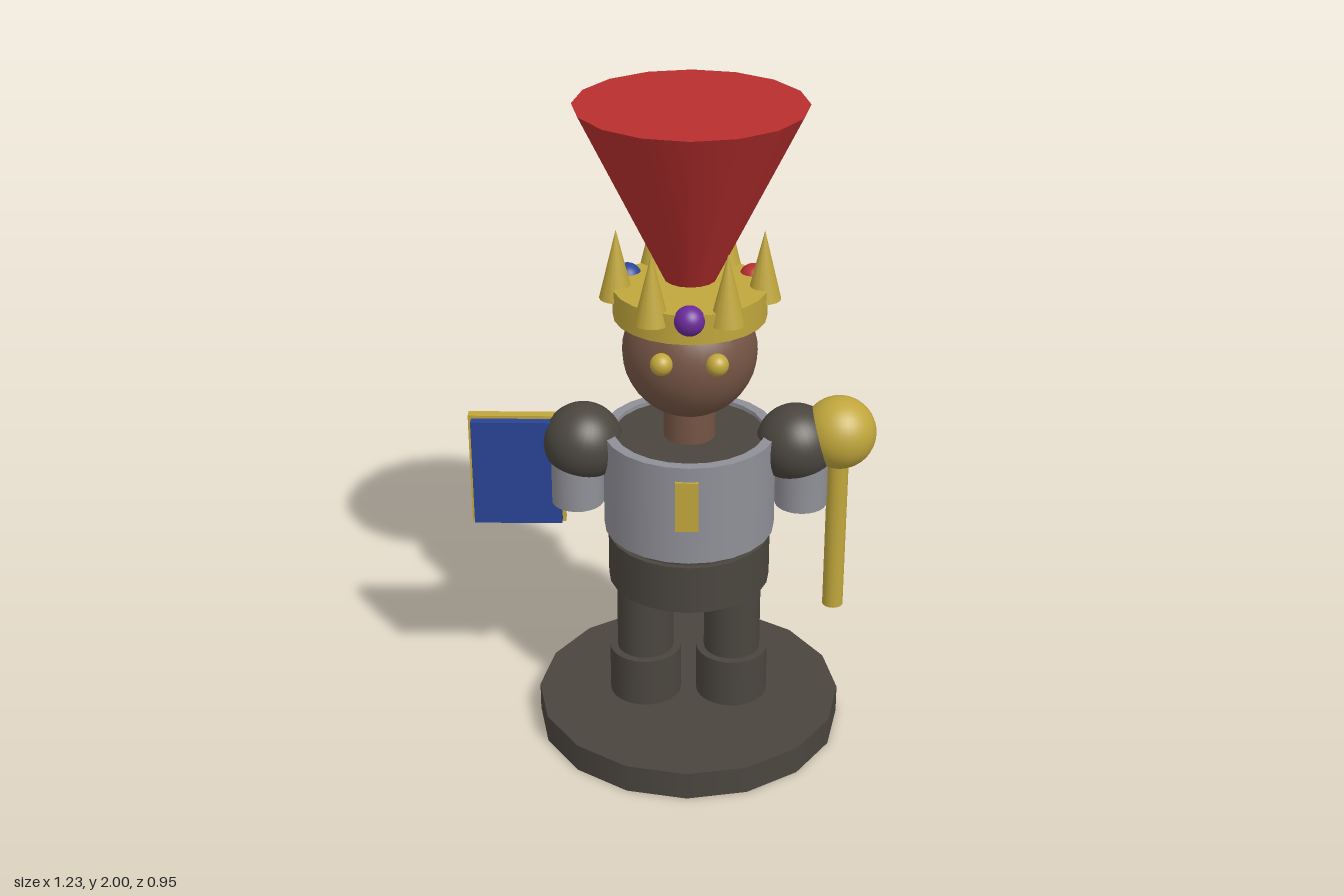
import * as THREE from 'three';

const mat = (color, side = THREE.FrontSide) => new THREE.MeshStandardMaterial({ color, side });

export function createModel() {
  const model = new THREE.Group();
  // The figure stands slightly off centre because of the shield
  const figure = new THREE.Group();
  figure.name = 'figure';
  figure.position.x = 0.05;
  model.add(figure);

  const dark = mat(0x4a453e), steel = mat(0x8f8f97), gold = mat(0xc0a63c), skin = mat(0x745444);
  const red = mat(0xb82e2e), blue = mat(0x2a4494), purple = mat(0x6b2a9a);

  const add = (name, geometry, material, x, y, z) => {
    const mesh = new THREE.Mesh(geometry, material);
    mesh.name = name;
    mesh.position.set(x, y, z);
    figure.add(mesh);
    return mesh;
  };
  // Upright cylinder or frustum between two heights
  const column = (name, rTop, rBottom, y0, y1, material, x = 0, z = 0, sides = 24, open = false) =>
    add(name, new THREE.CylinderGeometry(rTop, rBottom, y1 - y0, sides, 1, open), material, x, (y0 + y1) / 2, z);
  const ball = (name, r, material, x, y, z) =>
    add(name, new THREE.SphereGeometry(r, 32, 20), material, x, y, z);
  const box = (name, w, h, d, material, x, y, z) =>
    add(name, new THREE.BoxGeometry(w, h, d), material, x, y, z);

  // Base
  column('base', 0.475, 0.475, 0, 0.09, dark, 0, 0, 16);

  // Legs, arms and eyes, mirrored
  for (const s of [-1, 1]) {
    column('boot', 0.112, 0.112, 0.09, 0.25, dark, s * 0.136, 0);
    column('leg', 0.088, 0.088, 0.25, 0.53, dark, s * 0.136, 0);
    column('arm', 0.08, 0.08, 0.765, 0.96, steel, s * 0.34, 0);
    const pauldron = add('shoulderGuard',
      new THREE.SphereGeometry(0.12, 32, 20, 0, Math.PI * 2, 0, Math.PI * 0.7),
      mat(0x4a453e, THREE.DoubleSide), s * 0.32, 0.967, 0);
    pauldron.rotation.z = s * 0.24;
    ball('eye', 0.033, gold, s * 0.08, 1.306, 0.185);
  }

  // Hips, body and open breastplate
  column('hips', 0.248, 0.248, 0.515, 0.67, dark);
  column('body', 0.23, 0.23, 0.66, 0.995, dark);
  column('breastplate', 0.26, 0.26, 0.693, 1.01, mat(0x8f8f97, THREE.DoubleSide), 0, 0, 24, true);
  const rim = add('breastplateRim', new THREE.RingGeometry(0.228, 0.26, 24), steel, 0, 1.01, 0);
  rim.rotation.x = -Math.PI / 2;
  const hem = add('breastplateHem', new THREE.RingGeometry(0.228, 0.26, 24), steel, 0, 0.693, 0);
  hem.rotation.x = Math.PI / 2;
  box('chestBadge', 0.068, 0.16, 0.03, gold, -0.005, 0.885, 0.252);

  // Head
  column('neck', 0.078, 0.078, 0.98, 1.12, skin);
  ball('head', 0.2, skin, 0, 1.272, 0);

  // Crown with six spikes and three gems
  column('crownBand', 0.226, 0.226, 1.385, 1.475, gold);
  for (let i = 0; i < 6; i++) {
    const a = (i * Math.PI) / 3;
    add('crownSpike', new THREE.ConeGeometry(0.051, 0.21, 16), gold,
      Math.cos(a) * 0.214, 1.54, Math.sin(a) * 0.214);
  }
  [purple, red, blue].forEach((material, i) => {
    const a = (i * Math.PI * 2) / 3;
    ball('crownGem', 0.044, material, Math.sin(a) * 0.215, 1.455, Math.cos(a) * 0.215);
  });

  // Flared plume
  column('plume', 0.338, 0.065, 1.45, 2, red, 0, -0.058, 16);

  // Mace in the left hand
  column('maceShaft', 0.032, 0.032, 0.405, 1, gold, 0.45, 0);
  ball('maceHead', 0.111, gold, 0.45, 1.003, 0);

  // Shield on the right arm
  box('shieldBack', 0.288, 0.36, 0.032, gold, -0.523, 0.864, -0.024);
  box('shieldFace', 0.268, 0.342, 0.03, blue, -0.523, 0.864, 0.006);

  return model;
}
